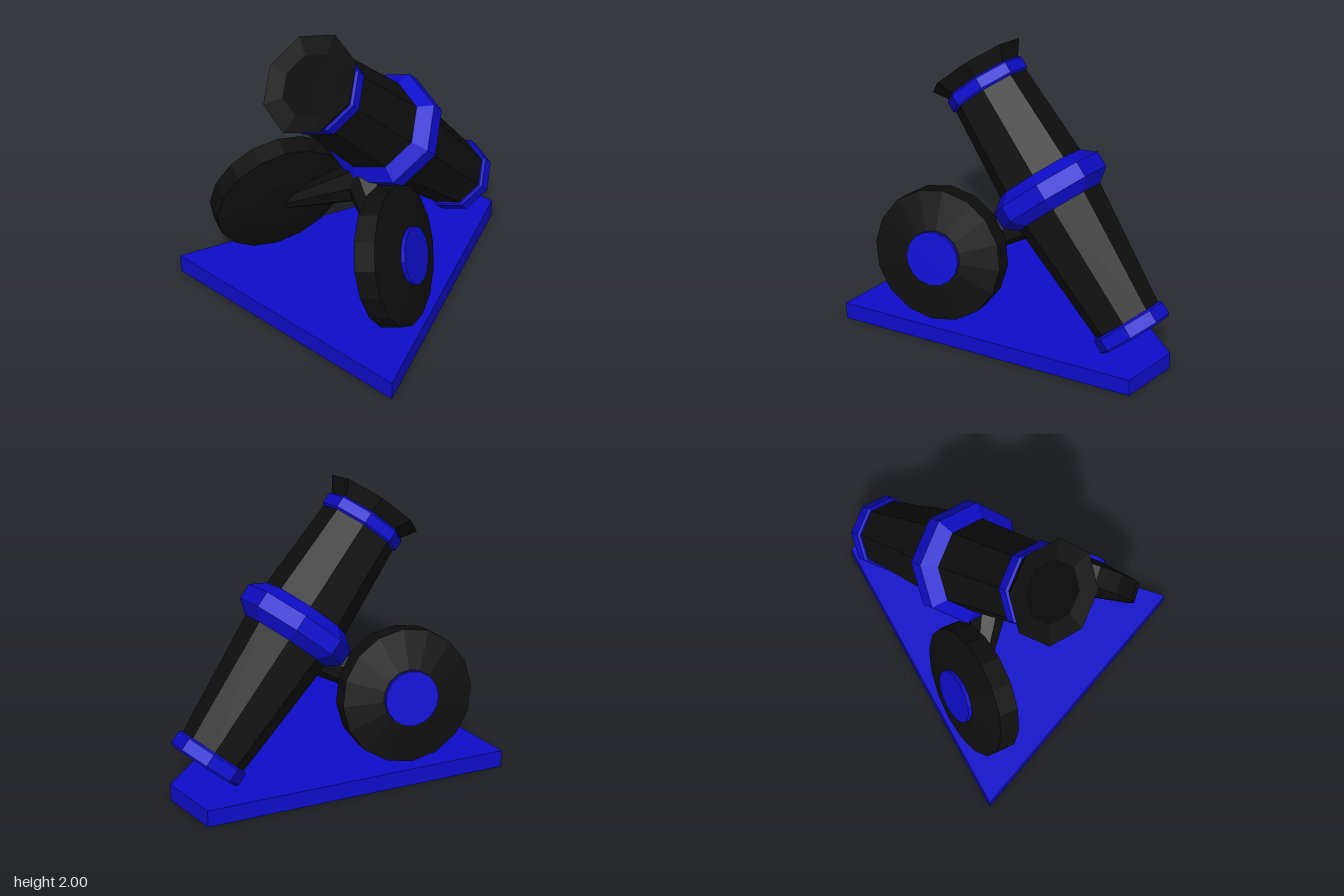
import * as THREE from 'three';

export function createModel() {
  const model = new THREE.Group();
  const material = (name, color) => {
    const m = new THREE.MeshStandardMaterial({ color });
    m.name = name;
    return m;
  };
  const black = material('iron black', 0x0f0f0f);
  const dark = material('bore black', 0x070707);
  const blue = material('deep blue', 0x0d0dcc);

  // Faceted mesh helpers
  function part(name, geometry, mat, parent) {
    const g = geometry.index ? geometry.toNonIndexed() : geometry;
    g.computeVertexNormals();
    const mesh = new THREE.Mesh(g, mat);
    mesh.name = name;
    parent.add(mesh);
    return mesh;
  }
  const lathe = (points, sides) =>
    new THREE.LatheGeometry(points.map(([r, y]) => new THREE.Vector2(r, y)), sides);

  // Wedge-shaped base slab
  const outline = new THREE.Shape([
    new THREE.Vector2(-0.98, -1), new THREE.Vector2(0.98, -1),
    new THREE.Vector2(0.2, 0.955), new THREE.Vector2(-0.2, 0.955),
  ]);
  const slab = new THREE.ExtrudeGeometry(outline, { depth: 0.13, bevelEnabled: false });
  slab.rotateX(-Math.PI / 2);
  part('base', slab, blue, model);

  // Barrel: local y runs along the bore, with the muzzle at y = 0
  const barrel = new THREE.Group();
  barrel.name = 'barrel';
  barrel.position.set(0, 1.754, 0.673);
  barrel.rotation.x = 0.806;
  model.add(barrel);

  part('barrelBody', lathe([
    [0, -2.03], [0.23, -2.03], [0.237, -1.97], [0.315, -1.05], [0.315, -0.9], [0.268, -0.1],
  ], 8), black, barrel);
  part('muzzleFlare', lathe([[0.265, -0.11], [0.34, 0], [0.21, -0.02]], 8), black, barrel);
  part('bore', lathe([[0.21, -0.02], [0, -0.02]], 8), dark, barrel);

  // Bevelled bands around the barrel
  const band = (name, low, high, r, inner, bevel, drop) => part(name, lathe([
    [inner, low], [r - drop, low], [r, low + bevel], [r, high - bevel],
    [r - drop, high], [inner, high], [inner, low],
  ], 8), blue, barrel);
  band('muzzleBand', -0.2, -0.1, 0.29, 0.25, 0.014, 0.015);
  band('middleBand', -1.1, -0.83, 0.403, 0.29, 0.08, 0.1);
  band('breechBand', -2.07, -1.955, 0.263, 0.19, 0.015, 0.015);

  // Splayed wheels with hubs, and tapered axle arms
  const up = new THREE.Vector3(0, 1, 0);
  for (const side of [1, -1]) {
    const label = side > 0 ? 'left' : 'right';
    const wheel = new THREE.Group();
    wheel.name = label + 'Wheel';
    wheel.position.set(side * 0.535, 0.6, 0.475);
    wheel.quaternion.setFromUnitVectors(up, new THREE.Vector3(side * 0.89, 0.27, -0.36).normalize());
    model.add(wheel);
    part(label + 'Tyre', lathe([
      [0, -0.11], [0.2, -0.11], [0.46, -0.07], [0.46, 0.07], [0.2, 0.125], [0, 0.125],
    ], 16), black, wheel);
    part(label + 'Hub', lathe([[0.188, 0.1], [0.188, 0.152], [0, 0.152]], 16), blue, wheel);

    const from = new THREE.Vector3(0, 0.8, 0.17);
    const to = new THREE.Vector3(side * 0.5, 0.53, 0.48);
    const dir = to.clone().sub(from);
    const arm = part(label + 'AxleArm',
      new THREE.CylinderGeometry(0.045, 0.15, dir.length(), 8), black, model);
    arm.position.copy(from).add(to).multiplyScalar(0.5);
    arm.quaternion.setFromUnitVectors(up, dir.normalize());
  }
  return model;
}
